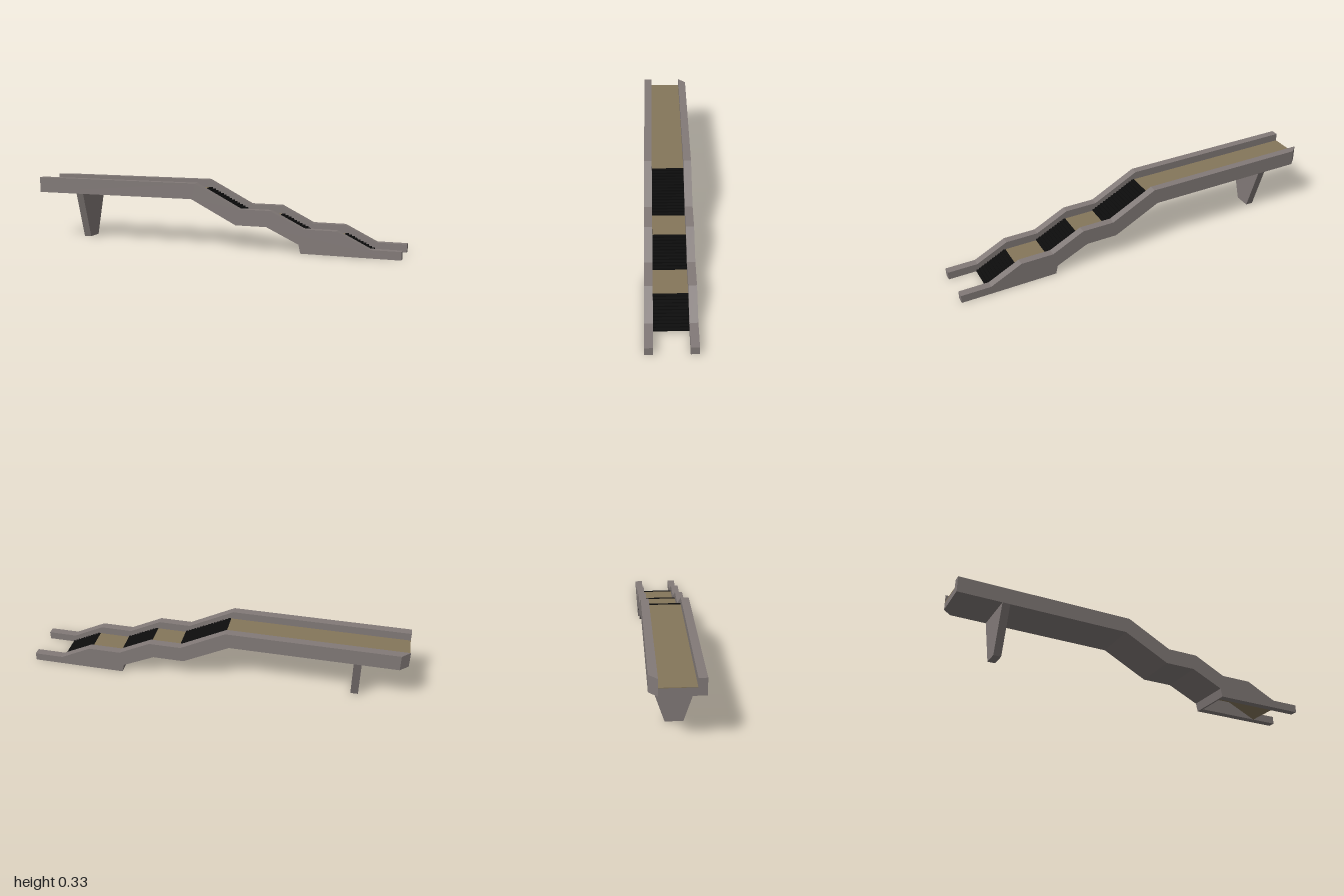
import * as THREE from 'three';

const grey = new THREE.MeshStandardMaterial({ name: 'stone grey', color: 0x827a78 });
const tan = new THREE.MeshStandardMaterial({ name: 'walkway tan', color: 0x85765a });
const black = new THREE.MeshStandardMaterial({ name: 'step black', color: 0x0d0d0d });

const OUT = 0.125, IN = 0.084;

// Walking line: flats and ramps from the high end to the ground
const walk = [[-1, 0.292], [-0.06, 0.292], [0.19, 0.167], [0.35, 0.167], [0.52, 0.083], [0.69, 0.083], [0.855, 0]];
// Underside line, shared by the rails and the body
const under = [[0.5, 0], [0.49, 0.045], [0.32, 0.125], [0.155, 0.125], [-0.09, 0.25], [-1, 0.25]];

// Extrudes an x-y outline from z0 to z1
function slab(name, points, z0, z1, material) {
  const shape = new THREE.Shape(points.map(([x, y]) => new THREE.Vector2(x, y)));
  const geo = new THREE.ExtrudeGeometry(shape, { depth: z1 - z0, bevelEnabled: false });
  geo.translate(0, 0, z0);
  const mesh = new THREE.Mesh(geo, material);
  mesh.name = name;
  return mesh;
}

const lower = (pts, d) => pts.map(([x, y]) => [x, Math.max(0, y - d)]);

// Small treads following one ramp
function steps(name, [x0, y0], [x1, y1]) {
  const count = Math.round((x1 - x0) / 0.0155);
  const dx = (x1 - x0) / count, dy = (y0 - y1) / count;
  const pts = [[x0, y0 - 0.003]];
  for (let i = 0; i < count; i++) {
    const y = y0 + 0.001 - i * dy;
    pts.push([x0 + i * dx, y], [x0 + (i + 1) * dx, y]);
  }
  pts.push([x1, Math.max(0, y1 - 0.003)]);
  return slab(name, pts, -IN, IN, black);
}

export function createModel() {
  const model = new THREE.Group();
  model.name = 'steppedRamp';

  // Side rails
  const railOutline = [
    [-1, 0.333], [-0.07, 0.333], [0.17, 0.209], [0.34, 0.209], [0.51, 0.124],
    [0.68, 0.124], [0.845, 0.042], [1, 0.042], [1, 0], ...under,
  ];
  const frontRail = slab('frontRail', railOutline, IN, OUT, grey);
  const backRail = slab('backRail', railOutline, -OUT, -IN, grey);
  // Mitre the outer corner of the back rail at the high end
  const p = backRail.geometry.attributes.position;
  for (let i = 0; i < p.count; i++) {
    if (p.getX(i) < -0.99 && p.getZ(i) < -0.12) p.setX(i, -0.957);
  }
  backRail.geometry.computeVertexNormals();
  model.add(frontRail, backRail);

  // Solid body between the rails, open beneath the lowest landing
  const bodyOutline = [...lower(walk.slice(0, 5), 0.003), [0.51, 0], ...under];
  model.add(slab('body', bodyOutline, -IN, IN, grey));

  // Tan walkway sheet
  const sheet = [...walk, ...lower(walk, 0.006).reverse().slice(1)];
  model.add(slab('walkway', sheet, -IN, IN, tan));

  // Black stepped ramps
  [1, 3, 5].forEach((i, n) => model.add(steps(`stepRamp${n + 1}`, walk[i], walk[i + 1])));

  // Tapered support leg under the high end
  const legShape = new THREE.Shape([
    new THREE.Vector2(-0.043, 0), new THREE.Vector2(0.043, 0),
    new THREE.Vector2(OUT, 0.25), new THREE.Vector2(-OUT, 0.25),
  ]);
  const legGeo = new THREE.ExtrudeGeometry(legShape, { depth: 0.04, bevelEnabled: false });
  legGeo.rotateY(Math.PI / 2).translate(-0.77, 0, 0);
  const leg = new THREE.Mesh(legGeo, grey);
  leg.name = 'supportLeg';
  model.add(leg);

  return model;
}
